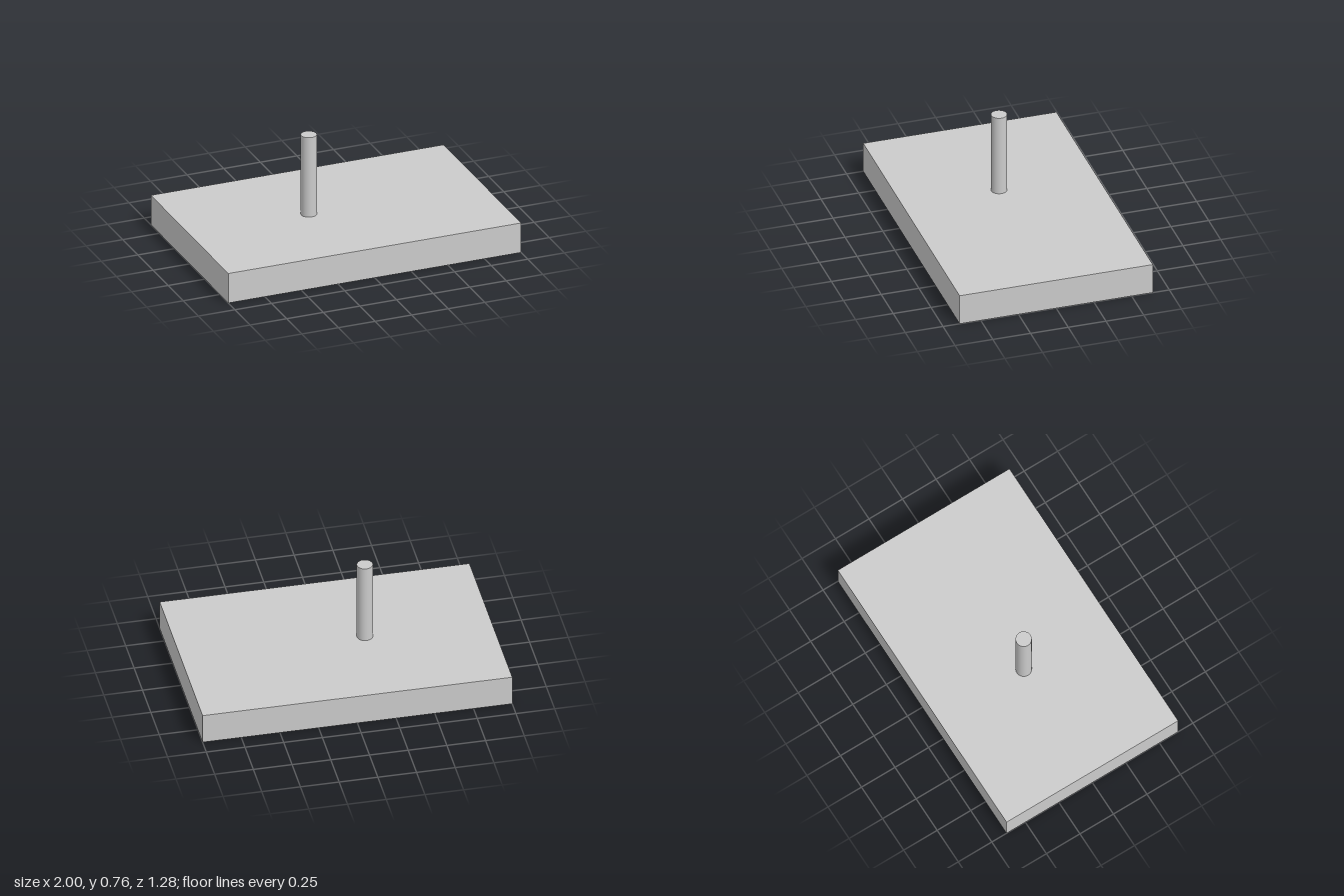
import * as THREE from 'three';

export function createModel() {
  const model = new THREE.Group();
  const material = new THREE.MeshStandardMaterial({ color: 0xcccccc });

  const baseHeight = 0.205;
  const postTop = 0.757;
  const postHeight = postTop - baseHeight;

  // Solid rectangular slab
  const base = new THREE.Mesh(new THREE.BoxGeometry(2, baseHeight, 1.28), material);
  base.name = 'base';
  base.position.y = baseHeight / 2;

  // Round upright post, off-centre towards the right
  const post = new THREE.Mesh(new THREE.CylinderGeometry(0.051, 0.051, postHeight, 48), material);
  post.name = 'post';
  post.position.set(-0.186, baseHeight + postHeight / 2, 0);

  model.add(base, post);
  return model;
}
